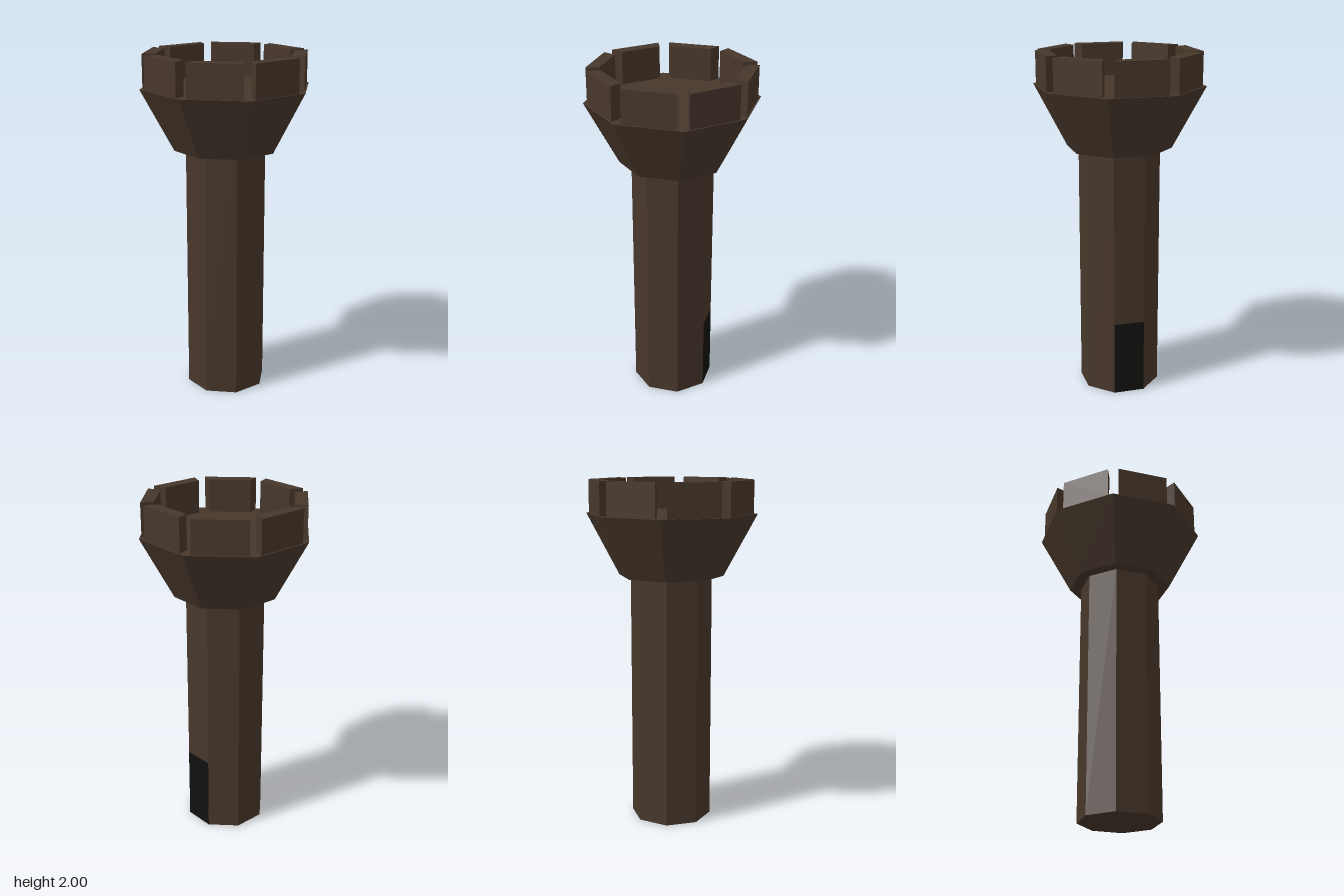
import * as THREE from 'three';

const SIDES = 8;
const STEP = (Math.PI * 2) / SIDES;

export function createModel() {
  const model = new THREE.Group();
  model.name = 'watchtower';
  const stone = new THREE.MeshStandardMaterial({ color: 0x47372b, flatShading: true });
  const dark = new THREE.MeshStandardMaterial({ color: 0x111110, flatShading: true });

  const add = (name, geometry, material, y = 0, parent = model) => {
    const mesh = new THREE.Mesh(geometry, material);
    mesh.name = name;
    mesh.position.y = y;
    parent.add(mesh);
    return mesh;
  };

  // Eight-sided shaft, with corners on the axes
  const shaftRadius = 0.236, shaftHeight = 1.455;
  add('shaft', new THREE.CylinderGeometry(shaftRadius, shaftRadius, shaftHeight, SIDES), stone, shaftHeight / 2);

  // Flared platform on top of the shaft
  const platformTop = 1.81, flareHeight = platformTop - shaftHeight;
  add('platform', new THREE.CylinderGeometry(0.493, 0.303, flareHeight, SIDES), stone, shaftHeight + flareHeight / 2);

  // Battlements: one mitred block per side, with a narrow gap at each corner
  const outline = [[0.47, 0.032], [0.355, 0.31], [0.3, 0.257], [0.39, 0.032]];
  const shape = new THREE.Shape(outline.map(([x, y]) => new THREE.Vector2(x, y)));
  const blockGeometry = new THREE.ExtrudeGeometry(shape, { depth: 2 - platformTop, bevelEnabled: false });
  blockGeometry.rotateX(-Math.PI / 2);
  const battlements = new THREE.Group();
  battlements.name = 'battlements';
  model.add(battlements);
  for (let i = 0; i < SIDES; i++) {
    add('battlementBlock', blockGeometry, stone, platformTop, battlements).rotation.y = i * STEP;
  }

  // Dark doorway filling the foot of one rear side
  const doorHeight = 0.44, doorAngle = Math.PI - STEP / 2;
  const doorWidth = 2 * shaftRadius * Math.sin(STEP / 2);
  const doorDistance = shaftRadius * Math.cos(STEP / 2) + 0.001;
  const door = add('doorway', new THREE.PlaneGeometry(doorWidth, doorHeight), dark, doorHeight / 2);
  door.rotation.y = doorAngle;
  door.position.x = Math.sin(doorAngle) * doorDistance;
  door.position.z = Math.cos(doorAngle) * doorDistance;

  return model;
}
